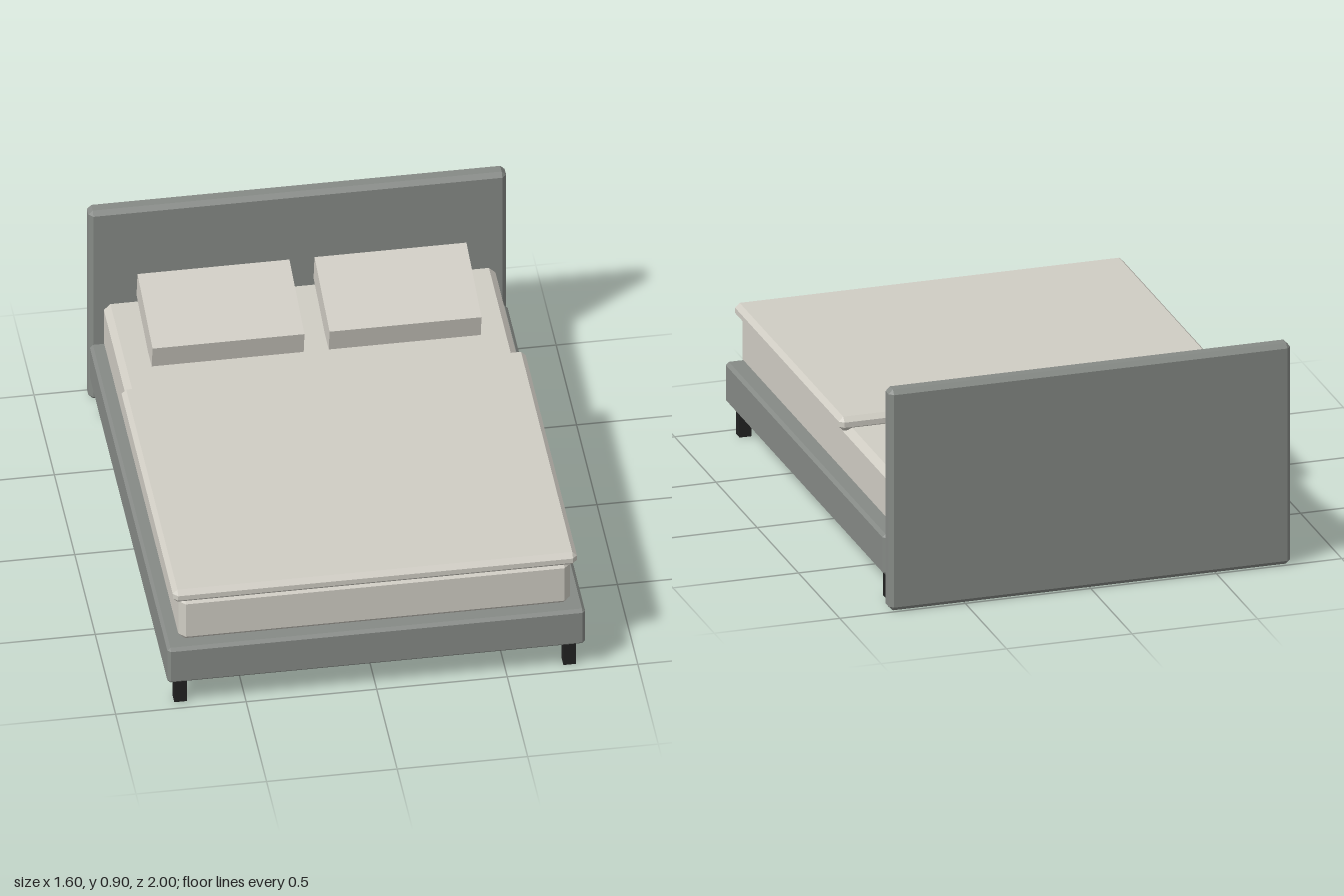
import * as THREE from 'three';
import { ConvexGeometry } from 'three/addons/geometries/ConvexGeometry.js';

// Box with flat chamfers along every edge, given by its min/max extents
function chamferBox(min, max, bevel) {
  const half = min.map((v, i) => (max[i] - v) / 2);
  const points = [];
  for (const sx of [-1, 1]) for (const sy of [-1, 1]) for (const sz of [-1, 1]) {
    for (let outer = 0; outer < 3; outer++) {
      const c = half.map((h, i) => (i === outer ? h : h - bevel));
      points.push(new THREE.Vector3(sx * c[0], sy * c[1], sz * c[2]));
    }
  }
  const geometry = new ConvexGeometry(points);
  geometry.translate(...min.map((v, i) => (v + max[i]) / 2));
  return geometry;
}

export function createModel() {
  const bed = new THREE.Group();
  bed.name = 'bed';

  const material = (name, color) => {
    const m = new THREE.MeshStandardMaterial({ color });
    m.name = name;
    return m;
  };
  const upholstery = material('grey upholstery', 0x868a86);
  const linen = material('off-white linen', 0xd0cdc4);
  const legWood = material('black leg', 0x222222);

  const add = (name, geometry, mat) => {
    const mesh = new THREE.Mesh(geometry, mat);
    mesh.name = name;
    bed.add(mesh);
    return mesh;
  };

  // Upholstered headboard and base
  add('headboard', chamferBox([-0.8, 0, -1], [0.8, 0.896, -0.93], 0.017), upholstery);
  add('bedFrame', chamferBox([-0.8, 0.118, -0.922], [0.8, 0.283, 1], 0.012), upholstery);

  // Mattress and the cover folded down below the pillows
  add('mattress', chamferBox([-0.75, 0.283, -0.912], [0.75, 0.488, 0.962], 0.025), linen);
  add('duvet', chamferBox([-0.774, 0.474, -0.318], [0.774, 0.531, 0.972], 0.018), linen);

  for (const side of [-1, 1]) {
    const label = side > 0 ? 'left' : 'right';

    // Pillow propped up towards the headboard
    const pillow = add(label + 'Pillow', new THREE.BoxGeometry(0.582, 0.12, 0.377), linen);
    pillow.position.set(side * 0.339, 0.567, -0.658);
    pillow.rotation.x = 0.2;

    // Square legs
    for (const [end, z] of [['Front', 0.938], ['Back', -0.847]]) {
      const leg = add(label + end + 'Leg', new THREE.BoxGeometry(0.048, 0.12, 0.046), legWood);
      leg.position.set(side * 0.745, 0.06, z);
    }
  }
  return bed;
}
